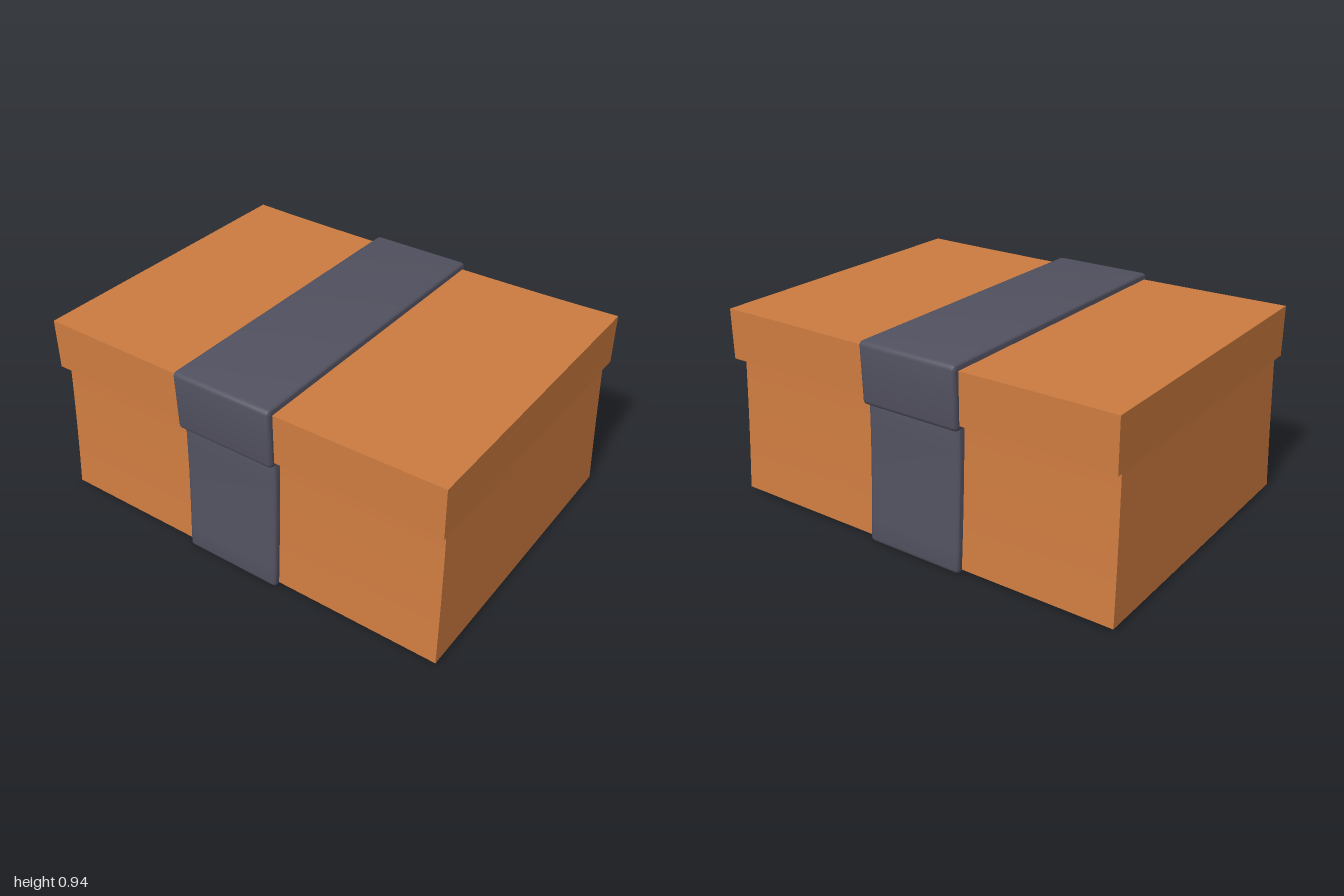
import * as THREE from 'three';
import { toCreasedNormals } from 'three/addons/utils/BufferGeometryUtils.js';

const cardboard = new THREE.MeshStandardMaterial({ color: 0xce7c40 });
cardboard.name = 'orange cardboard';
const fabric = new THREE.MeshStandardMaterial({ color: 0x525160 });
fabric.name = 'slate ribbon';

// Box whose vertices are then moved by a rule
function shapedBox(w, h, d, y, segs, rule) {
  const geo = new THREE.BoxGeometry(w, h, d, ...segs);
  geo.translate(0, y + h / 2, 0);
  const p = geo.attributes.position;
  const v = new THREE.Vector3();
  for (let i = 0; i < p.count; i++) {
    rule(v.fromBufferAttribute(p, i));
    p.setXYZ(i, v.x, v.y, v.z);
  }
  geo.computeVertexNormals();
  return geo;
}

// Band with softly rounded edges, from half of its side profile [z, y] listed bottom to top
function band(half, x0, x1) {
  const r = 0.018;
  const pts = half.map(([z, y]) => new THREE.Vector2(z, y));
  const mirrored = half.map(([z, y]) => new THREE.Vector2(-z, y)).reverse();
  const geo = new THREE.ExtrudeGeometry(new THREE.Shape([...pts, ...mirrored]), {
    depth: x1 - x0 - 2 * r, bevelEnabled: true, bevelSize: r, bevelThickness: r,
    bevelOffset: -r, bevelSegments: 4, curveSegments: 1,
  });
  geo.rotateY(Math.PI / 2);
  geo.translate(x0 + r, 0, 0);
  return toCreasedNormals(geo, 0.7);
}

// Adds rounded corners at the bottom and top of a half profile
function rounded(bottom, top, middle, r = 0.022) {
  const arc = ([z, y], s) => [0, 1, 2, 3, 4].map((i) => {
    const a = (i / 4) * Math.PI / 2;
    return s < 0
      ? [z - r + r * Math.sin(a), y + r - r * Math.cos(a)]
      : [z - r + r * Math.cos(a), y - r + r * Math.sin(a)];
  });
  return [...arc(bottom, -1), ...middle, ...arc(top, 1)];
}

export function createModel() {
  const model = new THREE.Group();
  const add = (name, geo, mat) => {
    const mesh = new THREE.Mesh(geo, mat);
    mesh.name = name;
    model.add(mesh);
  };

  // Lower box: narrows upward, with slightly hollow long sides
  add('boxBody', shapedBox(2, 0.67, 1.45, 0.02, [1, 8, 1], (v) => {
    const t = (v.y - 0.02) / 0.67;
    v.x *= 1 - 0.014 * t;
    v.z *= 1 - 0.05 * (1.4 * t - 0.4 * t * t);
  }), cardboard);

  // Lid: overhangs the body, its corners lifted a little
  add('lid', shapedBox(2, 0.235, 1.46, 0.68, [12, 1, 1], (v) => {
    const k = v.x * v.x;
    if (v.y > 0.8) v.y += 0.006 * (k - 0.5);
    if (v.z < 0) v.z -= 0.01 * k * k;
  }), cardboard);

  // Ribbon around the body follows its tapering sides
  add('bodyRibbon', band(
    rounded([0.753, 0.003], [0.72, 0.69], [[0.747, 0.12], [0.738, 0.25], [0.729, 0.4], [0.723, 0.55]]),
    -0.272, 0.212), fabric);

  // Ribbon over the lid hangs just below its rim
  add('lidRibbon', band(
    rounded([0.752, 0.655], [0.758, 0.94], [[0.755, 0.8]]),
    -0.278, 0.216), fabric);

  return model;
}
